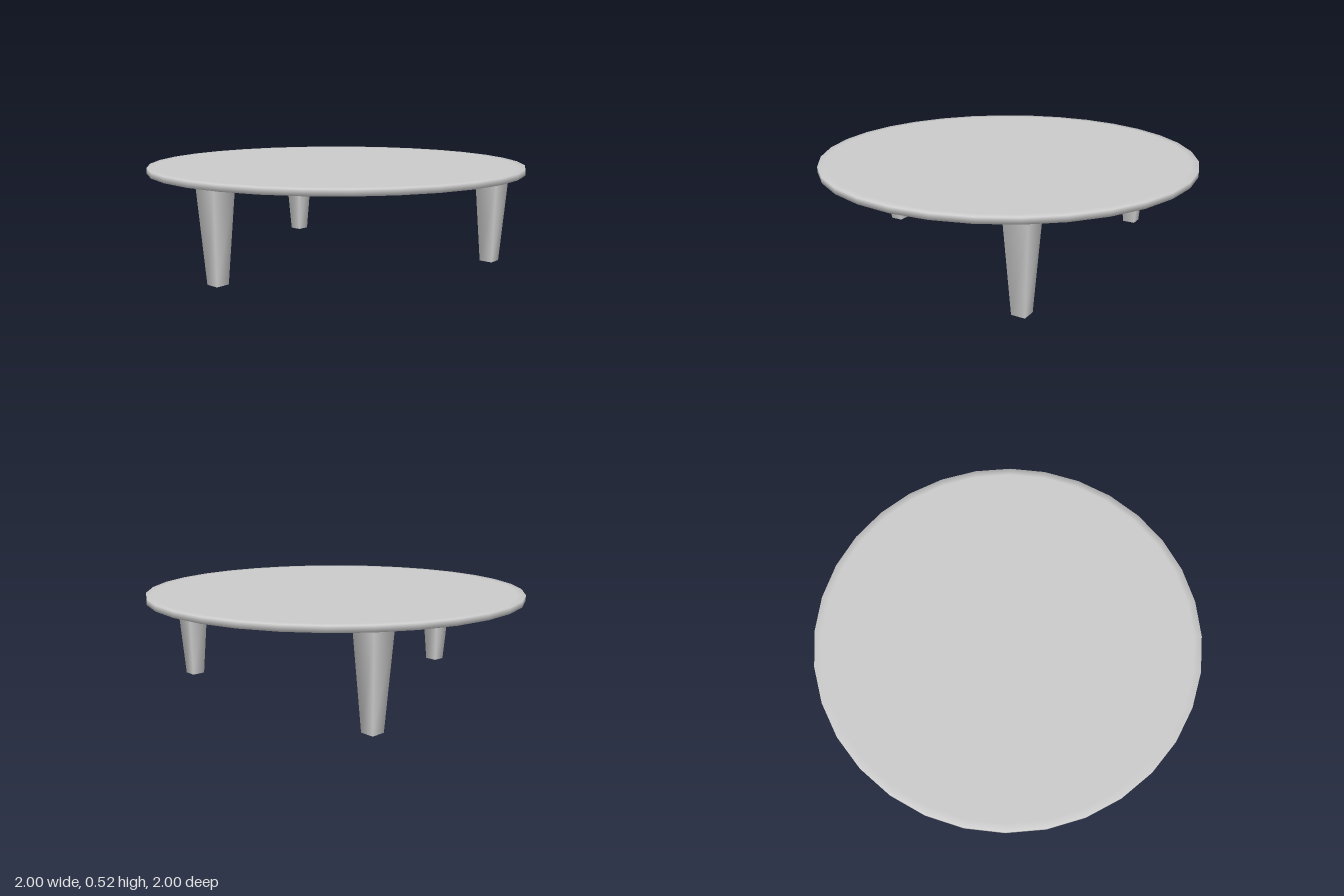
import * as THREE from 'three';

const TOP_Y = 0.523, UNDERSIDE_Y = 0.492;

export function createModel() {
  const table = new THREE.Group();
  table.name = 'roundTable';
  const material = new THREE.MeshStandardMaterial({ color: 0xcccccc });

  // Thin disc with a softly shaded rim
  const profile = [
    [0, UNDERSIDE_Y], [0.96, UNDERSIDE_Y], [1, UNDERSIDE_Y],
    [1, TOP_Y], [0.96, TOP_Y], [0, TOP_Y],
  ].map(([r, y]) => new THREE.Vector2(r, y));
  const top = new THREE.Mesh(new THREE.LatheGeometry(profile, 32), material);
  top.name = 'tableTop';
  table.add(top);

  // Square legs tapering downwards, sides parallel to the axes
  const legGeometry = new THREE.CylinderGeometry(
    0.066 * Math.SQRT2, 0.036 * Math.SQRT2, UNDERSIDE_Y, 4);
  legGeometry.rotateY(Math.PI / 4);
  legGeometry.translate(0, UNDERSIDE_Y / 2, 0);

  const legs = [
    ['frontLeg', 0.478, 0.684],
    ['backLeg', 0.443, -0.72],
    ['sideLeg', -0.806, -0.042],
  ];
  for (const [name, x, z] of legs) {
    const leg = new THREE.Mesh(legGeometry, material);
    leg.name = name;
    leg.position.set(x, 0, z);
    table.add(leg);
  }
  return table;
}
